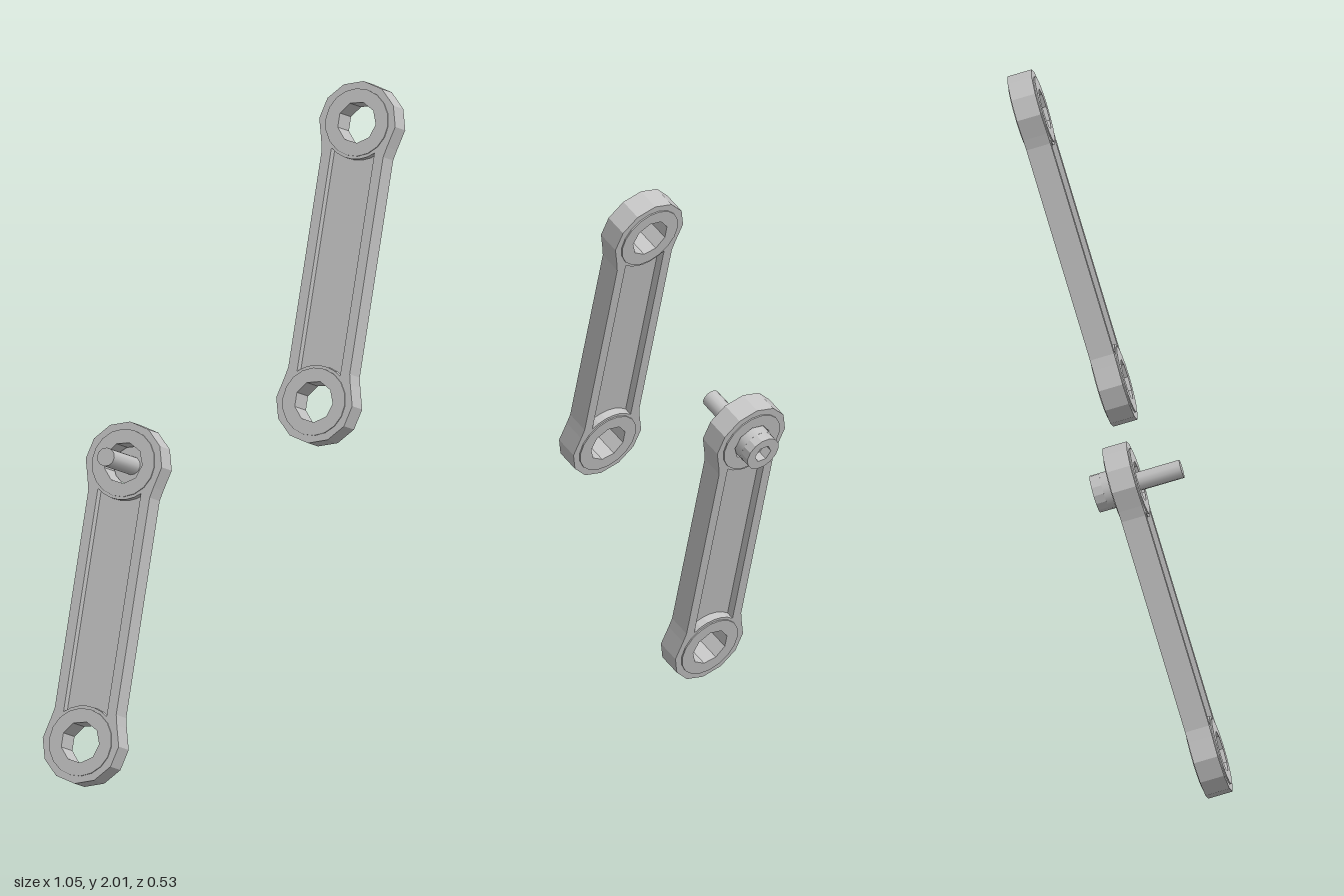
import * as THREE from 'three';

const HALF = 0.405;        // half the distance between the two eyes of an arm
const EYE_R = 0.12, RING_R = 0.098, HOLE_R = 0.06;

// points on an arc about (0, cy), angles in degrees
function arc(r, cy, from, to, steps) {
  return Array.from({ length: steps + 1 }, (_, i) => {
    const a = THREE.MathUtils.degToRad(from + (to - from) * i / steps);
    return new THREE.Vector2(r * Math.cos(a), cy + r * Math.sin(a));
  });
}
const circle = (r, cy, n) => arc(r, cy, 0, 360, n).slice(0, n);

// flat plate centred on z = 0
function plate(points, holes, depth) {
  const shape = new THREE.Shape(points);
  holes.forEach(h => shape.holes.push(new THREE.Path(h)));
  return new THREE.ExtrudeGeometry(shape, { depth, bevelEnabled: false }).translate(0, 0, -depth / 2);
}

// rounded-end outline with narrower bar between the eyes
function armOutline() {
  const v = (x, y) => new THREE.Vector2(x, y);
  return [
    v(0.097, HALF - 0.09), ...arc(EYE_R, HALF, -30, 210, 8), v(-0.097, HALF - 0.09),
    v(-0.097, -HALF + 0.09), ...arc(EYE_R, -HALF, 150, 390, 8), v(0.097, -HALF + 0.09),
  ];
}

// long pocket whose ends curve around the eyes
function pocketOutline(r, halfWidth) {
  const a = THREE.MathUtils.radToDeg(Math.acos(halfWidth / r));
  return [...arc(r, HALF, -180 + a, -a, 6), ...arc(r, -HALF, a, 180 - a, 6)];
}

function add(parent, name, geometry, material) {
  const mesh = new THREE.Mesh(geometry, material);
  mesh.name = name;
  parent.add(mesh);
  return mesh;
}

function createArm(name, steel) {
  const arm = new THREE.Group();
  arm.name = name;
  const bores = [circle(HOLE_R, HALF, 9), circle(HOLE_R, -HALF, 9)];
  add(arm, 'armFrame', plate(armOutline(), [...bores, pocketOutline(0.106, 0.068)], 0.072), steel);
  // web closing the pocket at mid depth
  add(arm, 'pocketWeb', plate(pocketOutline(0.104, 0.07), [], 0.022), steel);
  // slightly raised ring around each bore
  for (const y of [HALF, -HALF])
    add(arm, 'eyeRing', plate(circle(RING_R, y, 18), [circle(HOLE_R, y, 9)], 0.08), steel);
  return arm;
}

function createBolt(steel) {
  const bolt = new THREE.Group();
  bolt.name = 'bolt';
  const shank = new THREE.CylinderGeometry(0.027, 0.027, 0.225, 12).rotateX(Math.PI / 2);
  add(bolt, 'boltShank', shank, steel).position.z = 0.0525;
  // socket head: solid base with a hollow collar at its outer end
  const base = new THREE.CylinderGeometry(0.055, 0.055, 0.045, 14).rotateX(Math.PI / 2);
  add(bolt, 'boltHead', base, steel).position.z = -0.0425;
  const collar = plate(circle(0.055, 0, 14), [circle(0.028, 0, 6)], 0.03);
  add(bolt, 'boltSocket', collar, steel).position.z = -0.08;
  return bolt;
}

export function createModel() {
  const model = new THREE.Group();
  model.name = 'linkArms';
  const steel = new THREE.MeshStandardMaterial({ color: 0xc4c4c4 });
  steel.name = 'lightGrey';

  // shared tilt: local y runs along the arm, local z along the bores
  const along = new THREE.Vector3(0.216, 0.957, -0.198).normalize();
  const side = new THREE.Vector3().crossVectors(along, new THREE.Vector3(-0.63, 0.283, 0.727)).normalize();
  const facing = new THREE.Vector3().crossVectors(side, along);
  const tilt = new THREE.Matrix4().makeBasis(side, along, facing);

  const upper = createArm('upperArm', steel);
  upper.position.set(0.322, 1.493, 0.078);
  const lower = createArm('lowerArm', steel);
  lower.position.set(-0.327, 0.51, -0.08);
  for (const arm of [upper, lower]) {
    arm.quaternion.setFromRotationMatrix(tilt);
    model.add(arm);
  }

  // bolt through the top eye of the lower arm
  const bolt = createBolt(steel);
  bolt.position.y = HALF;
  lower.add(bolt);
  return model;
}
